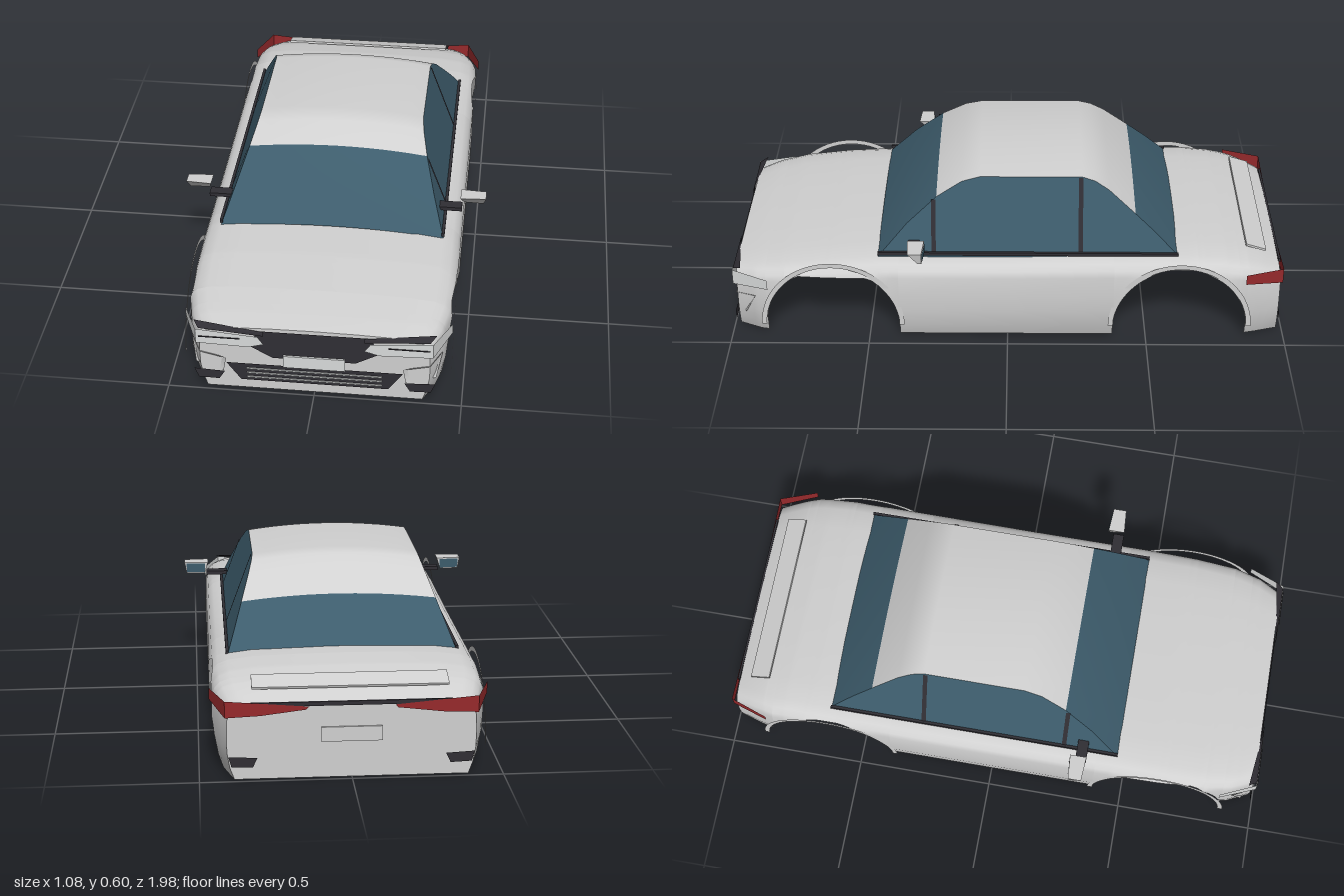
import * as THREE from 'three';

const mat = (name, color) => {
  const m = new THREE.MeshStandardMaterial({ color, side: THREE.DoubleSide });
  m.name = name;
  return m;
};

// Piecewise linear lookup in [[key, value], ...] with rising keys
function lookup(table, k) {
  if (k <= table[0][0]) return table[0][1];
  for (let i = 1; i < table.length; i++) {
    const [k0, v0] = table[i - 1], [k1, v1] = table[i];
    if (k <= k1) return v0 + (v1 - v0) * (k - k0) / (k1 - k0);
  }
  return table[table.length - 1][1];
}

// Skin over rows of points
function grid(rows) {
  const n = rows[0].length, index = [];
  for (let j = 0; j < rows.length - 1; j++)
    for (let i = 0; i < n - 1; i++) {
      const a = j * n + i, b = a + n;
      index.push(a, a + 1, b, a + 1, b + 1, b);
    }
  const g = new THREE.BufferGeometry();
  g.setAttribute('position', new THREE.Float32BufferAttribute(rows.flat(2), 3));
  g.setIndex(index);
  g.computeVertexNormals();
  return g;
}

// Flat convex polygon
function polygon(pts) {
  const g = new THREE.BufferGeometry(), index = [];
  for (let i = 1; i < pts.length - 1; i++) index.push(0, i, i + 1);
  g.setAttribute('position', new THREE.Float32BufferAttribute(pts.flat(), 3));
  g.setIndex(index);
  g.computeVertexNormals();
  return g;
}

// Body plan: height of the centre line and half width along z
const HEIGHT = [[-0.98, 0.262], [-0.93, 0.285], [-0.87, 0.307], [-0.78, 0.325], [-0.68, 0.333], [-0.58, 0.332],
  [0, 0.322], [0.45, 0.322], [0.62, 0.313], [0.8, 0.294], [0.92, 0.274], [0.98, 0.26]];
const WIDTH = [[-0.98, 0.41], [-0.9, 0.436], [-0.83, 0.455], [-0.7, 0.46], [0.65, 0.46],
  [0.8, 0.453], [0.9, 0.43], [0.98, 0.39]];
// Section: height fraction to width fraction
const SIDE = [[0, 0.94], [0.15, 0.975], [0.35, 0.997], [0.55, 1], [0.78, 0.995], [0.85, 0.975], [0.91, 0.935],
  [0.95, 0.86], [0.98, 0.68], [0.995, 0.36], [1, 0]];
const ARCHES = [{ z: 0.63, cap: 0.25 }, { z: -0.62, cap: 0.285 }];
const ARCH_R = 0.24, ARCH_Y = 0.05;

function bottomAt(z) {
  for (const a of ARCHES) {
    const d = Math.abs(z - a.z);
    if (d < ARCH_R) return Math.min(a.cap, ARCH_Y + Math.sqrt(ARCH_R ** 2 - d * d));
  }
  return 0;
}

function section(z) {
  const h = lookup(HEIGHT, z), w = lookup(WIDTH, z), b = bottomAt(z);
  const half = SIDE.map(([f], i) => {
    const y = i === SIDE.length - 1 ? h : Math.min(Math.max(f * h, b + i * 0.0008), h * 0.998);
    return [w * lookup(SIDE, y / h), y, z];
  });
  return [...half, ...half.slice(0, -1).reverse().map(([x, y, q]) => [-x, y, q])];
}

export function createModel() {
  const car = new THREE.Group();
  car.name = 'car';
  const paint = mat('silver paint', 0xd0d0d0);
  const glass = mat('blue glass', 0x3d5c6c);
  const dark = mat('dark trim', 0x302e34);
  const red = mat('red lamp', 0x962a2c);
  const lamp = mat('clear lamp', 0xd9dbdb);

  const add = (name, geometry, material, parent = car) => {
    const m = new THREE.Mesh(geometry, material);
    m.name = name;
    parent.add(m);
    return m;
  };
  const pair = (name, geometry, material) => {
    add(name + 'Left', geometry, material);
    add(name + 'Right', geometry, material).scale.x = -1;
  };
  const box = (name, material, size, pos) => {
    const m = add(name, new THREE.BoxGeometry(...size), material);
    m.position.set(...pos);
    return m;
  };
  const at = (z, pts) => polygon(pts.map(([x, y]) => [x, y, z]));

  // Open shell of the body, with wheel arches cut from its lower edge
  const stations = [...HEIGHT, ...WIDTH].map(p => p[0]);
  for (const a of ARCHES) {
    for (let i = 0; i <= 24; i++) stations.push(a.z - Math.cos(i / 24 * Math.PI) * (ARCH_R - 0.0005));
    stations.push(a.z - ARCH_R - 0.0005, a.z + ARCH_R + 0.0005);
  }
  const zs = [...new Set(stations)].sort((p, q) => p - q);
  add('bodyShell', grid(zs.map(section)), paint);
  add('frontPanel', polygon([[0, 0, 0.98], ...section(0.98)]), paint);
  add('rearPanel', polygon([[0, 0, -0.98], ...section(-0.98).reverse()]), paint);

  // Wheel arch lips
  ARCHES.forEach((a, i) => {
    const ring = new THREE.RingGeometry(ARCH_R, ARCH_R + 0.018, 32, 1, 0, Math.PI);
    ring.rotateY(Math.PI / 2).translate(0.459, ARCH_Y + 0.005, a.z);
    pair(i ? 'rearArchLip' : 'frontArchLip', ring, paint);
  });

  // Cabin: profile of its upper edge, [z, y], from back to front
  const edge = [[-0.61, 0.312], [-0.53, 0.39], [-0.455, 0.455], [-0.36, 0.535], [-0.31, 0.565], [-0.265, 0.578],
    [0.1, 0.578], [0.165, 0.562], [0.255, 0.51], [0.36, 0.42], [0.465, 0.305]];
  const cabinHalf = y => 0.397 - (y - 0.305) * 0.374;
  const across = ([z, y]) => Array.from({ length: 13 }, (_, i) => {
    const t = 1 - i / 6;
    return [t * cabinHalf(y), y + 0.022 * (1 - t * t), z];
  });
  add('rearWindow', grid(edge.slice(0, 3).map(across)), glass);
  add('roof', grid(edge.slice(2, 9).map(across)), paint);
  add('windshield', grid(edge.slice(8).map(across)), glass);
  pair('sideWindow', grid(edge.map(([z, y]) => [[cabinHalf(0.305), 0.305, z], [cabinHalf(y), y, z]])), glass);

  // Belt line and door pillars
  pair('beltTrim', new THREE.BoxGeometry(0.01, 0.012, 1.075).translate(0.396, 0.319, -0.072), dark);
  for (const [name, z, top] of [['frontPillar', 0.265, 0.502], ['middlePillar', -0.26, 0.576]]) {
    const x0 = cabinHalf(0.315) + 0.003, x1 = cabinHalf(top) + 0.003;
    pair(name, polygon([[x0, 0.315, z - 0.008], [x1, top, z - 0.008],
      [x1, top, z + 0.008], [x0, 0.315, z + 0.008]]), dark);
  }

  // Mirrors: a dark arm and a head tapering downwards
  pair('mirrorArm', new THREE.BoxGeometry(0.1, 0.014, 0.04).translate(0.405, 0.356, 0.335), dark);
  const head = new THREE.BoxGeometry(0.08, 0.042, 0.06);
  const hp = head.attributes.position;
  for (let i = 0; i < hp.count; i++) {
    const x = hp.getX(i), y = hp.getY(i), z = hp.getZ(i);
    hp.setXYZ(i, x + 0.495 + (x < 0 ? y * -0.3 : y * 0.2), y + 0.382,
      (y < 0 && z > 0 ? -0.012 : z) * (x > 0 ? 0.8 : 1) + 0.325);
  }
  head.computeVertexNormals();
  pair('mirrorHead', head, paint);
  pair('mirrorGlass', polygon([[0.46, 0.365, 0.293], [0.53, 0.365, 0.299], [0.532, 0.399, 0.299],
    [0.46, 0.399, 0.293]]), glass);

  // Front grille, brows and lower intake
  add('grille', at(0.985, [[-0.19, 0.25], [0.19, 0.25], [0.22, 0.185], [0.14, 0.14], [-0.14, 0.14],
    [-0.22, 0.185]]), dark);
  pair('headlampBrow', polygon([[0.17, 0.25, 0.989], [0.17, 0.232, 0.989], [0.39, 0.25, 0.989],
    [0.41, 0.262, 0.96]]), dark);
  add('lowerIntake', at(0.985, [[-0.3, 0.108], [0.3, 0.108], [0.25, 0.038], [-0.25, 0.038]]), dark);
  [0.09, 0.072, 0.054].forEach((y, i) =>
    box('intakeBar' + (i + 1), lamp, [0.46, 0.005, 0.004], [0, y, 0.988]));
  box('frontPlate', lamp, [0.21, 0.048, 0.008], [0, 0.131, 0.988]);

  // Headlamps wrapping round the corners
  pair('headlamp', at(0.992, [[0.17, 0.2], [0.19, 0.23], [0.4, 0.248], [0.4, 0.19], [0.22, 0.185]]), lamp);
  pair('headlampSide', polygon([[0.4, 0.19, 0.992], [0.4, 0.248, 0.992], [0.457, 0.238, 0.86],
    [0.457, 0.2, 0.86]]), lamp);
  pair('headlampLine', new THREE.BoxGeometry(0.14, 0.003, 0.003).translate(0.32, 0.219, 0.994), dark);

  // Corner intakes
  pair('cornerPanel', polygon([[0.3, 0.125, 0.985], [0.39, 0.147, 0.985], [0.428, 0.155, 0.91],
    [0.41, 0.075, 0.95], [0.31, 0.07, 0.985]]), paint);
  pair('cornerIntake', at(0.989, [[0.305, 0.072], [0.41, 0.077], [0.395, 0.04], [0.325, 0.038]]), dark);

  // Tail lamps wrapping round the corners
  pair('tailLamp', at(-0.988, [[0.14, 0.248], [0.3, 0.262], [0.415, 0.272], [0.415, 0.215], [0.3, 0.22],
    [0.15, 0.238]]), red);
  pair('tailLampSide', polygon([[0.415, 0.215, -0.988], [0.415, 0.272, -0.988], [0.464, 0.274, -0.85],
    [0.464, 0.236, -0.85]]), red);

  // Boot lip, rear strip, plate and lower reflectors
  const lip = box('bootLip', paint, [0.65, 0.008, 0.075], [0, 0.306, -0.895]);
  lip.rotation.x = -0.3;
  box('rearStrip', dark, [0.66, 0.014, 0.008], [0, 0.256, -0.982]);
  box('rearPlate', paint, [0.2, 0.05, 0.008], [0, 0.15, -0.982]);
  pair('rearReflector', at(-0.986, [[0.31, 0.075], [0.405, 0.08], [0.395, 0.045], [0.325, 0.042]]), dark);

  return car;
}
